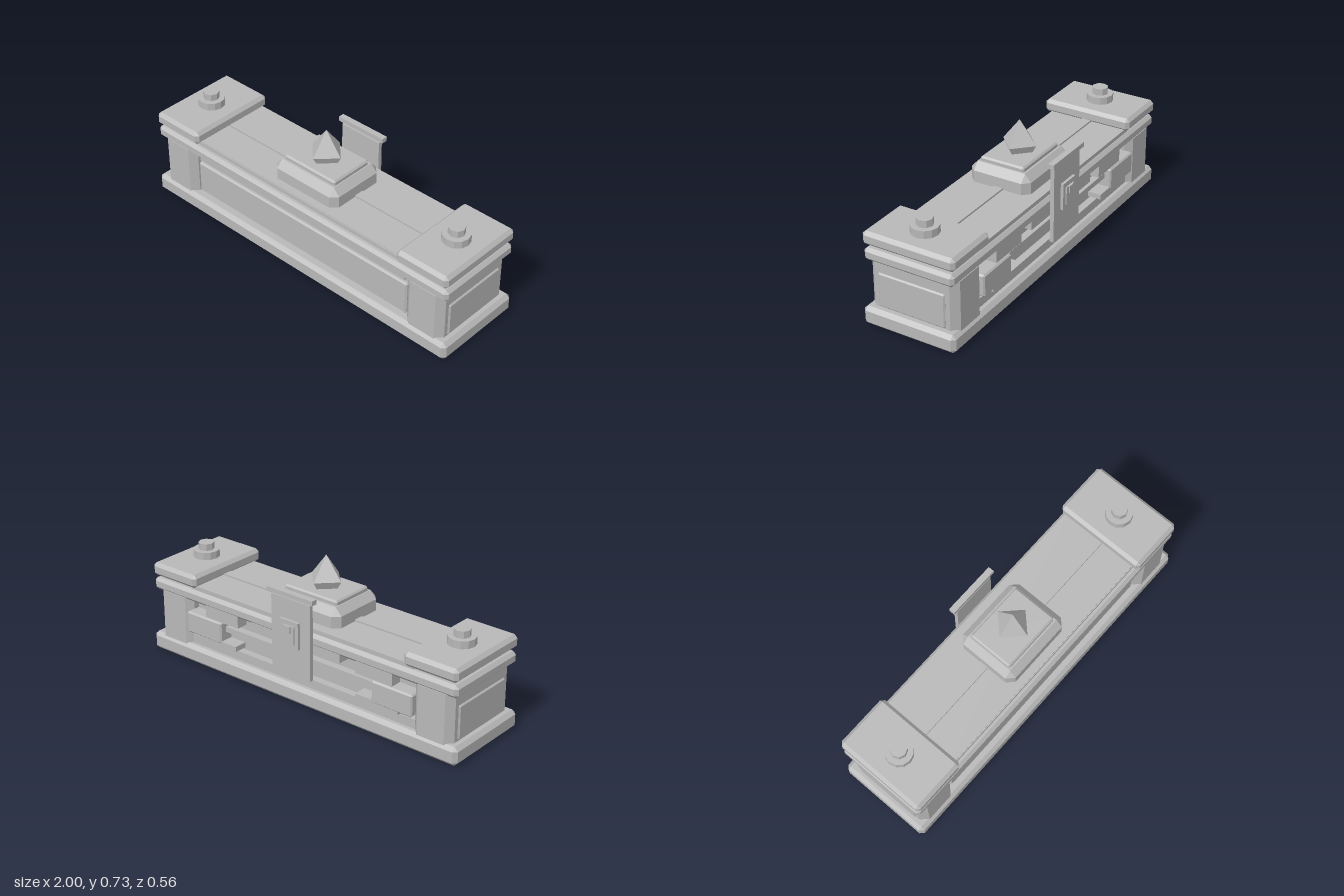
import * as THREE from 'three';
import { ConvexGeometry } from 'three/addons/geometries/ConvexGeometry.js';

export function createModel() {
  const model = new THREE.Group();
  model.name = 'monument';
  const stone = new THREE.MeshStandardMaterial({ color: 0xb8b8b8, flatShading: true });
  stone.name = 'grey stone';

  const add = (name, geometry, x = 0, y = 0, z = 0) => {
    const mesh = new THREE.Mesh(geometry, stone);
    mesh.name = name;
    mesh.position.set(x, y, z);
    model.add(mesh);
    return mesh;
  };

  // Plain block from its limits
  const block = (name, [x0, x1], [y0, y1], [z0, z1]) =>
    add(name, new THREE.BoxGeometry(x1 - x0, y1 - y0, z1 - z0), (x0 + x1) / 2, (y0 + y1) / 2, (z0 + z1) / 2);

  // Block with cut vertical corners (c) and cut bottom (b) and top (t) edges
  const chamfered = (name, [x0, x1], [y0, y1], [z0, z1], c, b = c, t = c) => {
    const points = [];
    for (const [x, sx] of [[x0, 1], [x1, -1]]) {
      for (const [z, sz] of [[z0, 1], [z1, -1]]) {
        for (const y of [y0 + b, y1 - t]) {
          points.push(new THREE.Vector3(x + sx * c, y, z), new THREE.Vector3(x, y, z + sz * c));
        }
        if (b > 0) points.push(new THREE.Vector3(x + sx * c, y0, z + sz * c));
        if (t > 0) points.push(new THREE.Vector3(x + sx * c, y1, z + sz * c));
      }
    }
    return add(name, new ConvexGeometry(points));
  };

  // Limits mirrored to the given side
  const side = (s, a, b) => (s > 0 ? [a, b] : [-b, -a]);

  // Base, core and long front panel
  chamfered('base', [-1, 1], [0, 0.1], [-0.239, 0.282], 0.02);
  block('core', [-0.75, 0.75], [0.09, 0.36], [-0.16, 0.215]);
  chamfered('frontPanel', [-0.72, 0.72], [0.105, 0.292], [0.19, 0.235], 0.008);
  block('frontUpperMoulding', [-0.705, 0.705], [0.312, 0.36], [0.2, 0.235]);

  // Cornice and roof
  chamfered('cornice', [-0.987, 0.987], [0.352, 0.419], [-0.231, 0.271], 0.017);
  block('neck', [-0.94, 0.94], [0.415, 0.437], [-0.2, 0.24]);
  block('roof', [-0.72, 0.72], [0.415, 0.441], [-0.21, 0.235]);
  block('roofRidge', [-0.7, 0.7], [0.435, 0.45], [-0.04, 0.013]).position.z = 0.015;

  for (const s of [1, -1]) {
    // End pier with side panel, cap and stepped knob
    chamfered('endPier', side(s, 0.727, 0.957), [0.09, 0.36], [-0.227, 0.267], 0.036, 0, 0);
    chamfered('sidePanel', side(s, 0.93, 0.965), [0.105, 0.29], [-0.167, 0.209], 0.007);
    chamfered('endCap', side(s, 0.677, 0.987), [0.433, 0.506], [-0.237, 0.277], 0.018);
    add('knobBase', new THREE.CylinderGeometry(0.072, 0.072, 0.045, 12), s * 0.833, 0.524, 0.02);
    add('knobTop', new THREE.CylinderGeometry(0.043, 0.043, 0.045, 8), s * 0.833, 0.561, 0.02);

    // Staggered blocks in the back recess
    chamfered('backLowerBlock', side(s, 0.495, 0.738), [0.175, 0.295], [-0.238, -0.15], 0.008);
    block('backUpperBlock', side(s, 0.385, 0.61), [0.295, 0.368], [-0.225, -0.15]);
    block('backInnerBlock', side(s, 0.1, 0.29), [0.315, 0.368], [-0.225, -0.15]);
    block('backLedge', side(s, 0.395, 0.655), [0.162, 0.19], [-0.234, -0.15]);
  }
  block('backRail', [-0.5, 0.5], [0.235, 0.265], [-0.2, -0.15]);
  block('backSill', [-0.735, 0.735], [0.09, 0.15], [-0.2, -0.15]);

  // Stepped plinth with pointed finial
  chamfered('plinth', [-0.212, 0.212], [0.43, 0.543], [-0.153, 0.193], 0.036, 0, 0.04);
  chamfered('plinthSlab', [-0.17, 0.17], [0.535, 0.568], [-0.105, 0.147], 0.009, 0);
  add('finialPoint', new THREE.ConeGeometry(0.097, 0.125, 4), 0, 0.6695, 0.021);
  add('finialFoot', new THREE.CylinderGeometry(0.097, 0.073, 0.042, 4), 0, 0.586, 0.021);

  // Upright plate on the back with a layered emblem frame
  block('backPlate', [-0.125, 0.125], [0.17, 0.581], [-0.253, -0.231]);
  block('backPlateCap', [-0.148, 0.148], [0.591, 0.616], [-0.263, -0.23]);
  block('frameOuter', [-0.06, 0.06], [0.327, 0.472], [-0.268, -0.25]);
  block('frameInner', [-0.038, 0.038], [0.35, 0.447], [-0.275, -0.26]);
  block('frameStud', [-0.018, 0.018], [0.41, 0.447], [-0.281, -0.27]);

  return model;
}
